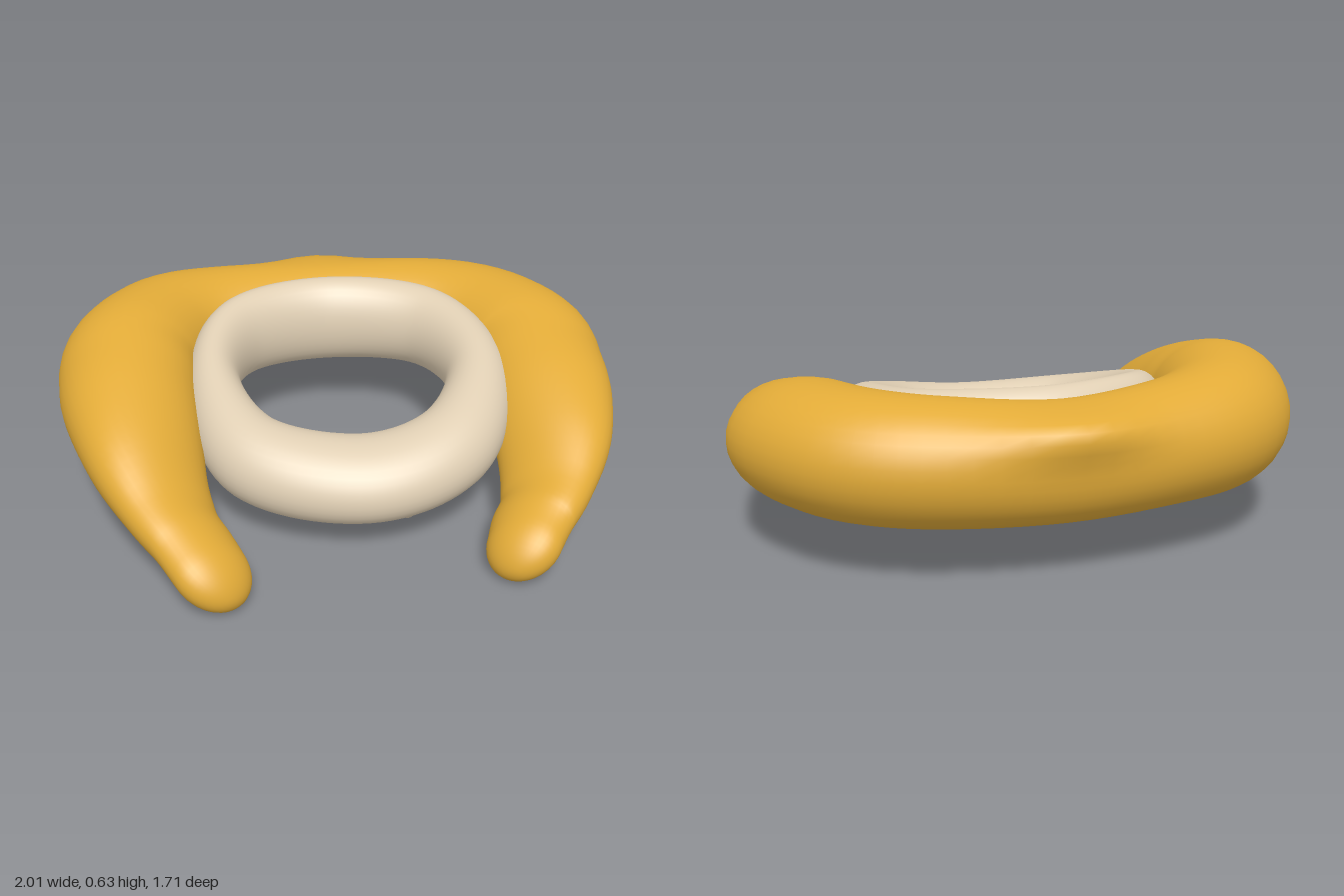
import * as THREE from 'three';
import { mergeVertices } from 'three/addons/utils/BufferGeometryUtils.js';

// Sweeps an upright ellipse through stations [x, y, z, halfWidth, halfHeight, lean].
// Lean raises the positive side of the ellipse. Open sweeps get rounded ends.
function loft(stations, closed, steps = 96, sides = 36) {
  const curve = from => new THREE.CatmullRomCurve3(
    stations.map(s => new THREE.Vector3(...s.slice(from, from + 3))), closed, 'catmullrom', 0.5);
  const path = curve(0);
  const size = curve(3);
  const rings = [];
  const addRing = (t, dome = 0) => {
    const tangent = path.getTangent(t);
    const flat = new THREE.Vector3(tangent.x, 0, tangent.z).normalize();
    const r = size.getPoint(t);
    const scale = Math.cos(dome);
    const center = path.getPoint(t).addScaledVector(tangent, Math.sin(dome) * r.x);
    const ring = [];
    for (let j = 0; j < sides; j++) {
      const a = (j / sides) * Math.PI * 2;
      const w = Math.cos(a) * r.x * scale;
      const h = Math.sin(a) * r.y * scale + w * r.z;
      ring.push(center.x + flat.z * w, center.y + h, center.z - flat.x * w);
    }
    rings.push(ring);
  };
  const capSteps = 10;
  if (!closed) for (let i = capSteps; i > 0; i--) addRing(0, -(i / capSteps) * Math.PI / 2);
  for (let i = 0; i < steps + (closed ? 0 : 1); i++) addRing(i / steps);
  if (!closed) for (let i = 1; i <= capSteps; i++) addRing(1, (i / capSteps) * Math.PI / 2);

  const index = [];
  const n = rings.length;
  for (let i = 0; i < (closed ? n : n - 1); i++) {
    for (let j = 0; j < sides; j++) {
      const k = (j + 1) % sides, m = (i + 1) % n;
      const a = i * sides + j, b = i * sides + k, c = m * sides + k, d = m * sides + j;
      index.push(a, b, d, b, c, d);
    }
  }
  const geometry = new THREE.BufferGeometry();
  geometry.setAttribute('position', new THREE.Float32BufferAttribute(rings.flat(), 3));
  geometry.setIndex(index);
  const merged = mergeVertices(geometry, 1e-5);
  merged.computeVertexNormals();
  return merged;
}

// Pulls a soft lip out of the upper back of the horseshoe
function addBackLip(geometry) {
  const p = geometry.attributes.position;
  for (let i = 0; i < p.count; i++) {
    const x = p.getX(i), y = p.getY(i), z = p.getZ(i);
    const amount = Math.exp(-((x / 0.22) ** 2) - ((y - 0.5) / 0.07) ** 2)
      * THREE.MathUtils.smoothstep(-z, 0.62, 0.76);
    p.setY(i, y + 0.02 * amount);
    p.setZ(i, z - 0.07 * amount);
  }
  geometry.computeVertexNormals();
  return geometry;
}

export function createModel() {
  const group = new THREE.Group();
  const gold = new THREE.MeshStandardMaterial({ color: 0xe2ab38 });
  gold.name = 'gold';
  const beige = new THREE.MeshStandardMaterial({ color: 0xe0cfb4 });
  beige.name = 'beige';

  const add = (name, geometry, material) => {
    const mesh = new THREE.Mesh(geometry, material);
    mesh.name = name;
    group.add(mesh);
    return mesh;
  };

  // Outer horseshoe, from the right tip round the back to the left tip
  add('outerHorseshoe', addBackLip(loft([
    [-0.505, 0.122, 0.735, 0.132, 0.1, 0.2],
    [-0.55, 0.16, 0.66, 0.14, 0.103, 0.24],
    [-0.615, 0.208, 0.56, 0.155, 0.118, 0.26],
    [-0.685, 0.292, 0.4, 0.192, 0.158, 0.2],
    [-0.73, 0.352, 0.2, 0.225, 0.19, 0.08],
    [-0.755, 0.385, 0, 0.245, 0.215, 0],
    [-0.742, 0.405, -0.2, 0.25, 0.23, 0],
    [-0.61, 0.4, -0.44, 0.24, 0.225, 0],
    [-0.375, 0.39, -0.57, 0.215, 0.205, 0],
    [0, 0.375, -0.63, 0.19, 0.195, 0],
    [0.375, 0.385, -0.57, 0.215, 0.205, 0],
    [0.61, 0.39, -0.435, 0.24, 0.21, 0],
    [0.742, 0.385, -0.2, 0.25, 0.21, 0],
    [0.75, 0.362, 0, 0.24, 0.192, 0],
    [0.73, 0.33, 0.2, 0.222, 0.172, 0.08],
    [0.69, 0.268, 0.4, 0.19, 0.143, 0.2],
    [0.62, 0.185, 0.56, 0.15, 0.108, 0.26],
    [0.555, 0.143, 0.645, 0.136, 0.1, 0.24],
    [0.515, 0.115, 0.71, 0.124, 0.098, 0.2],
  ], false)), gold);

  // Inner ring, low at the front and high at the back
  add('innerRing', loft([
    [0.03, 0.25, 0.47, 0.152, 0.132, 0.15],
    [0.35, 0.295, 0.36, 0.142, 0.138, 0.1],
    [0.502, 0.375, 0.02, 0.115, 0.14, 0],
    [0.38, 0.41, -0.338, 0.118, 0.155, -0.1],
    [0.01, 0.412, -0.465, 0.1, 0.168, -0.1],
    [-0.34, 0.415, -0.335, 0.102, 0.157, -0.1],
    [-0.457, 0.368, -0.02, 0.097, 0.14, 0],
    [-0.338, 0.278, 0.335, 0.137, 0.142, 0.1],
  ], true), beige);

  // Small pointed nub under the front of the ring
  const nub = add('nub', new THREE.LatheGeometry([
    [0, -0.054], [0.016, -0.048], [0.032, -0.03], [0.05, -0.01], [0.1, 0.022],
  ].map(p => new THREE.Vector2(p[0], p[1])), 20), beige);
  nub.position.set(0.17, 0.138, 0.475);

  return group;
}
